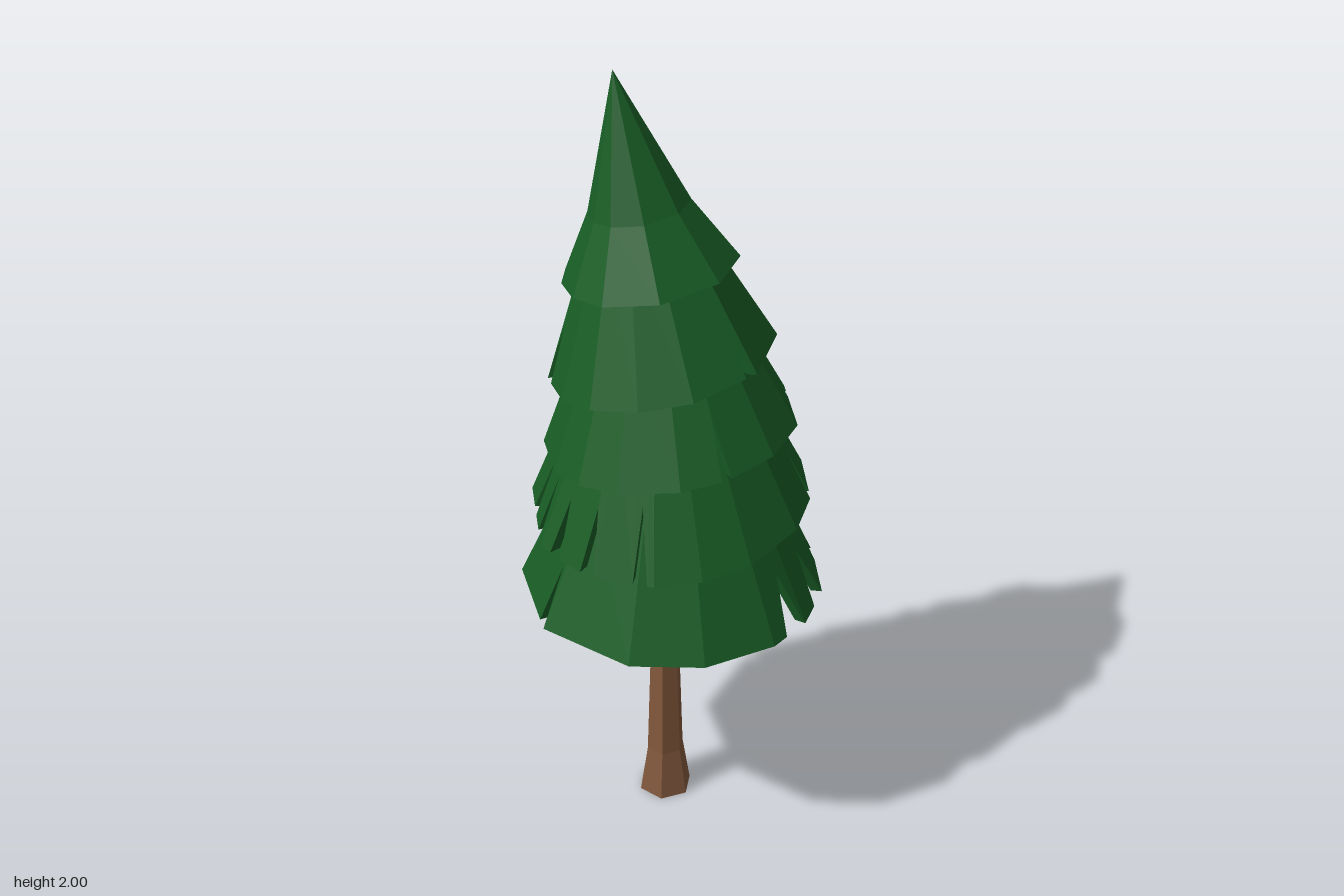
import * as THREE from 'three';

const GREEN = new THREE.MeshStandardMaterial({ color: 0x185c25, flatShading: true });
const BROWN = new THREE.MeshStandardMaterial({ color: 0x84593d, flatShading: true });

// Uneven corner angles (degrees) shared by all the branch skirts
const CORNERS = [2, 30, 51, 70, 99, 127, 167, 207, 250, 288, 315, 341];
const THICKNESS = 0.028;
const wrap = (a) => ((a % 360) + 360) % 360;

// Point of the unit polygon at an angle, measured along its straight sides
function onPolygon(angle, corners) {
  const n = corners.length;
  let i = n - 1;
  for (let k = 0; k < n; k++) if (angle >= corners[k]) i = k;
  const a0 = corners[i], a1 = corners[(i + 1) % n];
  const t = wrap(angle - a0) / wrap(a1 - a0);
  const p = (a) => new THREE.Vector2(Math.cos(a * Math.PI / 180), Math.sin(a * Math.PI / 180));
  return p(a0).lerp(p(a1), t);
}

// A hollow skirt: rings are [x, y, z, radius] from hem to top,
// notches are [angle, width, height fraction] cut upward from the hem
function skirtGeometry({ rings, tilt, turn, notches }) {
  const corners = CORNERS.map((a) => wrap(a + turn)).sort((a, b) => a - b);

  // Columns around the skirt, each with the height its hem is cut to
  const inNotch = (a) => notches.some(([m, w]) => Math.abs(wrap(a - m + 180) - 180) <= w / 2);
  const columns = corners.filter((a) => !inNotch(a)).map((a) => ({ a, cut: 0 }));
  for (const [m, w, h] of notches) {
    columns.push({ a: wrap(m - w / 2), cut: 0 }, { a: wrap(m), cut: h }, { a: wrap(m + w / 2), cut: 0 });
  }
  columns.sort((p, q) => p.a - q.a);

  const ringPoint = (ring, dir, inset) => {
    const r = Math.max(ring[3] - inset, 0);
    const dx = dir.x * r, dz = dir.y * r;
    return new THREE.Vector3(ring[0] + dx, ring[1] + tilt[0] * dx + tilt[1] * dz, ring[2] + dz);
  };
  const strip = ({ a, cut }, inset) => {
    const dir = onPolygon(a, corners);
    const pts = rings.map((ring) => ringPoint(ring, dir, inset));
    pts[0].lerp(pts[1], cut);
    return pts;
  };

  const out = [];
  const tri = (a, b, c) => {
    const area = b.clone().sub(a).cross(c.clone().sub(a)).length();
    if (area > 1e-8) for (const p of [a, b, c]) out.push(p.x, p.y, p.z);
  };
  const quad = (a, b, c, d) => { tri(a, b, c); tri(a, c, d); };

  columns.forEach((col, i) => {
    const next = columns[(i + 1) % columns.length];
    const o0 = strip(col, 0), o1 = strip(next, 0);
    const i0 = strip(col, THICKNESS), i1 = strip(next, THICKNESS);
    for (let k = 0; k < rings.length - 1; k++) {
      quad(o0[k], o0[k + 1], o1[k + 1], o1[k]);
      quad(i0[k], i1[k], i1[k + 1], i0[k + 1]);
    }
    quad(o0[0], o1[0], i1[0], i0[0]); // hem
  });

  const geo = new THREE.BufferGeometry();
  geo.setAttribute('position', new THREE.Float32BufferAttribute(out, 3));
  geo.computeVertexNormals();
  return geo;
}

// Rings of an ordinary skirt, drifting by (dx, dz) toward its closed top
const skirtRings = (x, y, z, r, dx, dz) => [
  [x, y, z, r],
  [x + dx, y + 0.33, z + dz, r - 0.145],
  [x + dx, y + 0.33, z + dz, 0],
];

const SKIRTS = [
  {
    rings: skirtRings(0, 0.65, 0, 0.375, 0, 0), tilt: [0, 0], turn: 0,
    notches: [[246, 6, 0.5], [335, 8, 0.4], [5, 8, 0.45], [35, 10, 0.4], [57, 11, 0.42], [170, 6, 0.45]],
  },
  {
    rings: skirtRings(-0.005, 0.89, -0.005, 0.345, -0.01, -0.01), tilt: [0.1, -0.03], turn: 47,
    notches: [[26, 5, 0.4], [123, 6, 0.5], [146, 7, 0.45], [165, 6, 0.4], [182, 6, 0.45], [198, 6, 0.45], [308, 6, 0.4]],
  },
  {
    rings: skirtRings(0, 1.09, -0.005, 0.307, -0.02, -0.02), tilt: [0.12, 0.09], turn: 105,
    notches: [[3, 5, 0.4], [86, 5, 0.42], [207, 7, 0.4], [225, 6, 0.4], [247, 7, 0.45], [330, 6, 0.35]],
  },
  {
    rings: skirtRings(-0.018, 1.285, -0.012, 0.272, -0.035, -0.035), tilt: [0.14, 0.145], turn: 168,
    notches: [[62, 5, 0.35], [195, 7, 0.4], [225, 6, 0.4], [249, 7, 0.4], [285, 7, 0.35], [335, 6, 0.35]],
  },
  {
    // Pointed crown with a bend below the leaning tip
    rings: [[-0.037, 1.518, -0.038, 0.208], [-0.058, 1.675, -0.056, 0.12], [-0.1, 2, -0.107, 0]],
    tilt: [0.12, 0.12], turn: 215, notches: [],
  },
];

export function createModel() {
  const tree = new THREE.Group();
  tree.name = 'pineTree';

  // Six-sided trunk, flared at the foot
  const profile = [[0, 0], [0.068, 0], [0.048, 0.13], [0.032, 0.65], [0.026, 0.96], [0, 0.96]]
    .map(([r, y]) => new THREE.Vector2(r, y));
  const trunk = new THREE.Mesh(new THREE.LatheGeometry(profile, 6).rotateY(Math.PI / 2), BROWN);
  trunk.name = 'trunk';
  trunk.position.x = -0.018;
  tree.add(trunk);

  // Overlapping branch skirts, bottom to top
  const foliage = new THREE.Group();
  foliage.name = 'foliage';
  SKIRTS.forEach((spec, i) => {
    const skirt = new THREE.Mesh(skirtGeometry(spec), GREEN);
    skirt.name = i === SKIRTS.length - 1 ? 'crown' : `branchSkirt${i + 1}`;
    foliage.add(skirt);
  });
  tree.add(foliage);
  return tree;
}
